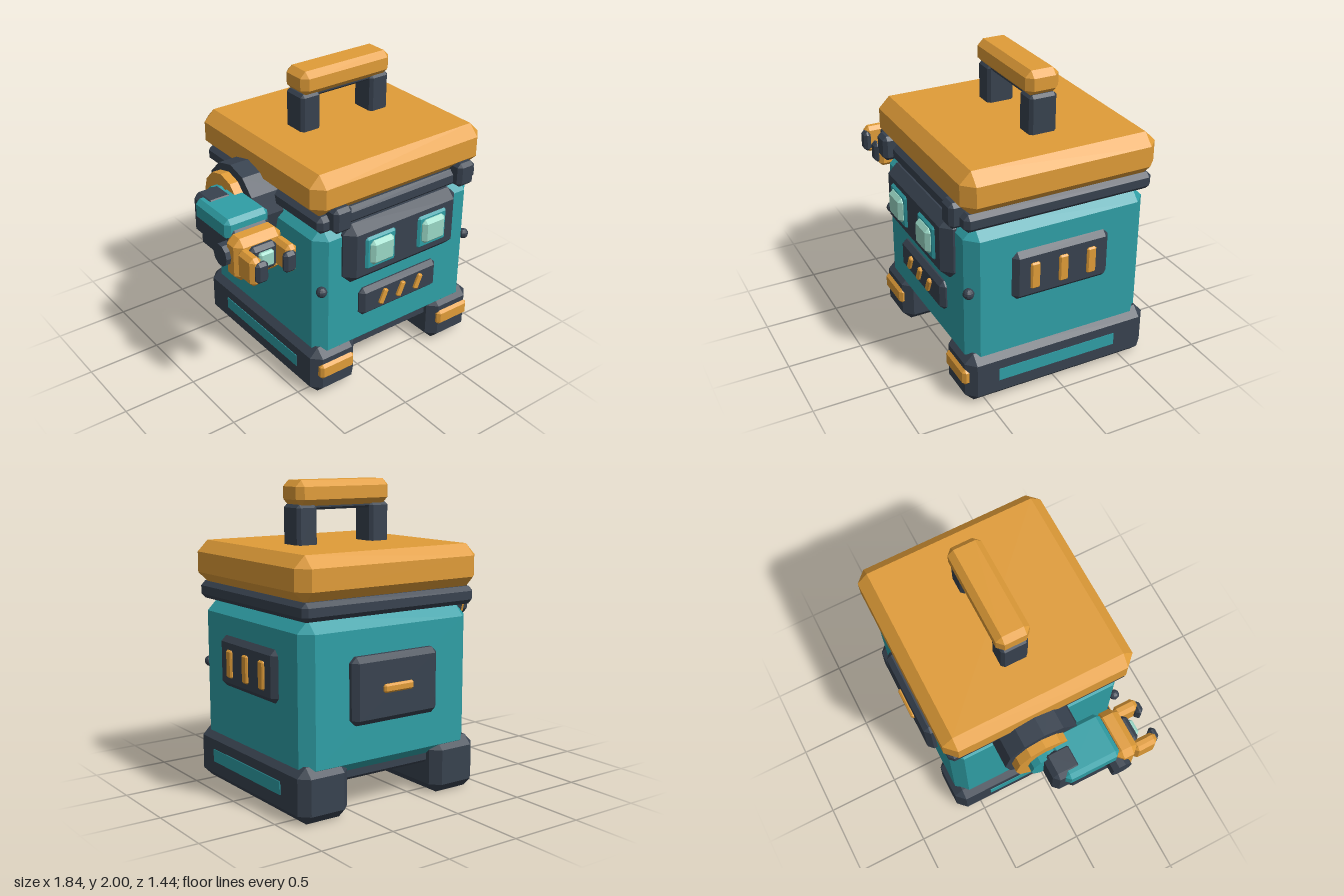
import * as THREE from 'three';
import { ConvexGeometry } from 'three/addons/geometries/ConvexGeometry.js';

const mat = (name, color) => {
  const m = new THREE.MeshStandardMaterial({ color, flatShading: true });
  m.name = name;
  return m;
};

// Box with every edge cut at 45 degrees: three points per corner
function chamferBox(w, h, d, c) {
  const [x, y, z] = [w / 2, h / 2, d / 2];
  c = Math.min(c, x * 0.9, y * 0.9, z * 0.9);
  const pts = [];
  for (const i of [-1, 1]) for (const j of [-1, 1]) for (const k of [-1, 1]) {
    pts.push(
      new THREE.Vector3(i * x, j * (y - c), k * (z - c)),
      new THREE.Vector3(i * (x - c), j * y, k * (z - c)),
      new THREE.Vector3(i * (x - c), j * (y - c), k * z));
  }
  return new ConvexGeometry(pts);
}

export function createModel() {
  const root = new THREE.Group();
  root.name = 'boxRobot';
  const orange = mat('orange', 0xe09c38);
  const teal = mat('teal', 0x2f9fa6);
  const dark = mat('darkSlate', 0x38424f);
  const mint = mat('mint', 0x9ad8c6);
  const MID = 0.23; // centre plane of the body

  const add = (parent, name, geo, m, x, y, z) => {
    const mesh = new THREE.Mesh(geo, m);
    mesh.name = name;
    mesh.position.set(x, y, z);
    parent.add(mesh);
    return mesh;
  };
  // Chamfered box given by its extents
  const box = (parent, name, m, [x0, x1], [y0, y1], [z0, z1], c = 0.02) =>
    add(parent, name, chamferBox(x1 - x0, y1 - y0, z1 - z0, c), m,
      (x0 + x1) / 2, (y0 + y1) / 2, (z0 + z1) / 2);
  // Cylinder lying along x
  const disc = (parent, name, m, r, [x0, x1], y, z, sides = 12) => {
    const geo = new THREE.CylinderGeometry(r, r, x1 - x0, sides).rotateZ(Math.PI / 2);
    return add(parent, name, geo, m, (x0 + x1) / 2, y, z);
  };
  const group = (name) => {
    const g = new THREE.Group();
    g.name = name;
    root.add(g);
    return g;
  };

  // Body, underside and lid
  box(root, 'body', teal, [-0.405, 0.87], [0.25, 1.215], [-0.64, 0.6], 0.075);
  box(root, 'underside', dark, [-0.3, 0.76], [0.2, 0.3], [-0.58, 0.54], 0.02);
  box(root, 'collar', dark, [-0.415, 0.88], [1.215, 1.33], [-0.66, 0.62], 0.03);
  box(root, 'lid', orange, [-0.45, 0.912], [1.32, 1.6], [-0.68, 0.637], 0.073);

  // Carry handle
  const handle = group('handle');
  for (const s of [-1, 1]) {
    const x = MID + s * 0.277;
    box(handle, 'handlePost', dark, [x - 0.074, x + 0.074], [1.57, 1.85], [-0.14, 0.045], 0.02);
  }
  box(handle, 'handleBar', dark, [-0.02, 0.48], [1.815, 1.87], [-0.12, 0.025], 0.015);
  box(handle, 'handleGrip', orange, [-0.122, 0.585], [1.84, 2], [-0.16, 0.065], 0.04);

  // Mirrored front parts: latches, bolts, feet, eyes
  for (const s of [-1, 1]) {
    const span = (mid, half) => [MID + s * mid - half, MID + s * mid + half];
    box(root, 'latch', dark, span(0.502, 0.068), [1.22, 1.387], [0.54, 0.68], 0.025);
    add(root, 'bolt', new THREE.SphereGeometry(0.036, 10, 8), dark, MID + s * 0.602, 0.785, 0.585);

    box(root, 'foot', dark, span(0.5, 0.178), [0, 0.35], [-0.67, 0.625], 0.06);
    box(root, 'footPad', orange, span(0.505, 0.135), [0.14, 0.252], [0.58, 0.645], 0.02);
    for (const side of [-1, 1]) {
      add(root, 'footStripe', new THREE.BoxGeometry(0.008, 0.085, 0.835), teal,
        MID + s * 0.5 + side * 0.178, 0.183, -0.002);
    }

    box(root, 'eyeFrame', teal, span(0.213, 0.12), [0.893, 1.123], [0.63, 0.69], 0.015);
    box(root, 'eyeLens', mint, span(0.213, 0.094), [0.925, 1.098], [0.64, 0.72], 0.025);
  }

  // Face and mouth panels
  box(root, 'facePanel', dark, [-0.23, 0.69], [0.795, 1.22], [0.53, 0.675], 0.062);
  box(root, 'mouthPanel', dark, [-0.09, 0.555], [0.5, 0.705], [0.54, 0.64], 0.03);
  for (const i of [-1, 0, 1]) {
    const slash = add(root, 'mouthSlash', chamferBox(0.036, 0.108, 0.05, 0.008), orange,
      MID + i * 0.147, 0.607, 0.637);
    slash.rotation.z = -0.42;
  }

  // Side vent panel
  box(root, 'ventPanel', dark, [0.82, 0.905], [0.68, 1.012], [-0.355, 0.315], 0.035);
  for (const i of [-1, 0, 1]) {
    const z = -0.022 + i * 0.196;
    box(root, 'ventSlit', orange, [0.88, 0.92], [0.752, 0.932], [z - 0.032, z + 0.032], 0.01);
  }

  // Back panel
  box(root, 'backPanel', dark, [-0.092, 0.555], [0.56, 0.98], [-0.7, -0.58], 0.035);
  box(root, 'backBar', orange, [0.12, 0.345], [0.745, 0.8], [-0.72, -0.67], 0.012);

  // Arm: shoulder discs, elbow and forearm
  const arm = group('arm');
  disc(arm, 'shoulder', dark, 0.27, [-0.582, -0.37], 1.19, -0.09);
  disc(arm, 'shoulderRing', orange, 0.205, [-0.643, -0.57], 1.2, -0.11);
  disc(arm, 'shoulderHub', teal, 0.125, [-0.69, -0.63], 1.2, -0.105);
  box(arm, 'elbow', dark, [-0.84, -0.64], [1.045, 1.332], [-0.145, 0.06], 0.035);
  box(arm, 'forearm', dark, [-0.852, -0.56], [1.0, 1.27], [-0.05, 0.325], 0.035);
  box(arm, 'forearmCover', teal, [-0.868, -0.556], [1.18, 1.325], [-0.075, 0.305], 0.03);
  disc(arm, 'wristKnob', dark, 0.074, [-0.918, -0.8], 1.117, 0.298, 10);

  // Hand
  const hand = group('hand');
  box(hand, 'wrist', orange, [-0.885, -0.547], [0.96, 1.25], [0.285, 0.443], 0.045);
  box(hand, 'palm', dark, [-0.81, -0.622], [1.02, 1.2], [0.4, 0.485], 0.025);
  box(hand, 'palmLens', mint, [-0.767, -0.663], [1.063, 1.167], [0.46, 0.51], 0.012);
  for (const s of [-1, 1]) {
    const f = -0.713 + s * 0.127;
    const t = -0.713 + s * 0.1;
    box(hand, 'finger', orange, [f - 0.04, f + 0.04], [1.01, 1.2], [0.42, 0.585], 0.025);
    box(hand, 'fingerTip', dark, [t - 0.044, t + 0.044], [1.035, 1.175], [0.558, 0.61], 0.02);
  }
  return root;
}
